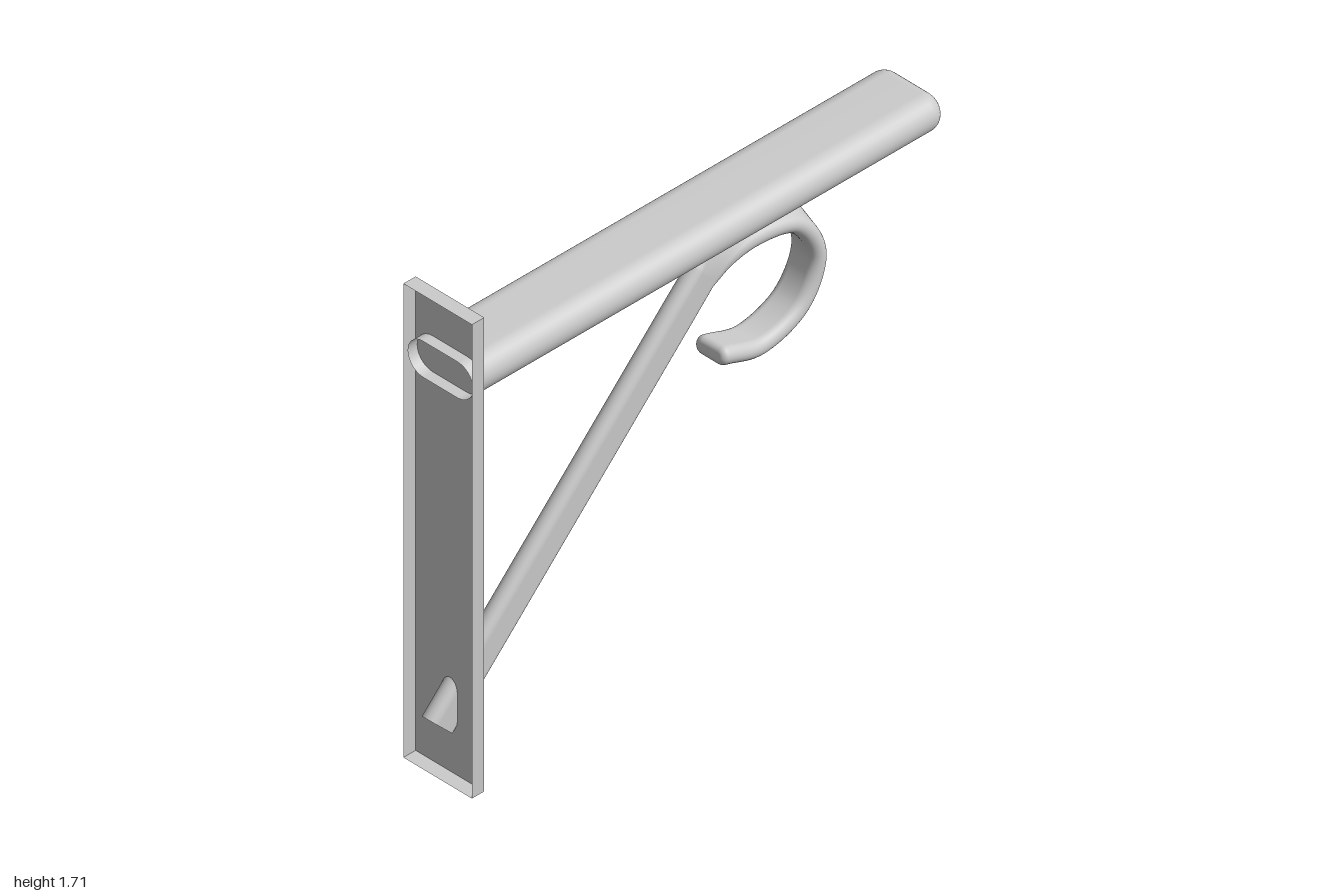
import * as THREE from 'three';

const material = new THREE.MeshStandardMaterial({ color: 0xcccccc, side: THREE.DoubleSide });
const HALF = 14; // segments on each rounded edge of a bar

// Ring with two round edges: u runs along the wide axis, v along the thin one
function ringPoints({ center, u, v, wide, thin, inset = 0 }) {
  const points = [];
  const r = thin - inset;
  for (let side = 0; side < 2; side++) {
    const sign = side ? -1 : 1;
    for (let i = 0; i <= HALF; i++) {
      const a = (i / HALF - 0.5) * Math.PI;
      points.push(center.clone()
        .addScaledVector(u, sign * (wide - thin + r * Math.cos(a)))
        .addScaledVector(v, sign * r * Math.sin(a)));
    }
  }
  return points;
}

// Skin over the sections, open at the start and closed with a rounded rim at the end
function loft(name, sections, rim) {
  const last = sections[sections.length - 1];
  const t = last.u.clone().cross(last.v);
  const all = [...sections];
  for (let i = 1; i <= 8; i++) {
    const a = (i / 8) * Math.PI / 2;
    all.push({
      ...last,
      center: last.center.clone().addScaledVector(t, rim * Math.sin(a)),
      inset: rim * (1 - Math.cos(a)),
    });
  }
  const rings = all.map(ringPoints);
  const n = rings[0].length;
  const points = rings.flat();
  const index = [];
  for (let i = 0; i < rings.length - 1; i++) {
    for (let k = 0; k < n; k++) {
      const a = i * n + k, b = i * n + (k + 1) % n;
      index.push(a, b, b + n, a, b + n, a + n);
    }
  }
  // End face
  const first = (rings.length - 1) * n;
  const middle = points.length;
  points.push(last.center.clone().addScaledVector(t, rim));
  for (let k = 0; k < n; k++) index.push(first + k, first + (k + 1) % n, middle);

  const geometry = new THREE.BufferGeometry().setFromPoints(points);
  geometry.setIndex(index);
  geometry.computeVertexNormals();
  const mesh = new THREE.Mesh(geometry, material);
  mesh.name = name;
  return mesh;
}

// Shallow wall plate, hollow at the back
function wallPlate() {
  const geometry = new THREE.BoxGeometry(0.05, 1.71, 0.285);
  const index = Array.from(geometry.index.array);
  index.splice(6, 6); // leave out the -x face
  geometry.setIndex(index);
  geometry.clearGroups();
  const mesh = new THREE.Mesh(geometry, material);
  mesh.position.set(-0.926, 0.855, 0);
  mesh.name = 'wallPlate';
  return mesh;
}

// Horizontal arm with round edges
function arm() {
  const rim = 0.05;
  const sections = [-0.94, 1 - rim].map((x) => ({
    center: new THREE.Vector3(x, 1.468, 0),
    u: new THREE.Vector3(0, 0, 1),
    v: new THREE.Vector3(0, -1, 0),
    wide: 0.136,
    thin: 0.065,
  }));
  return loft('arm', sections, rim);
}

// Diagonal brace that twists a quarter turn as it curls into a scroll
function brace() {
  const start = new THREE.Vector3(-0.953, 0.193, 0);
  const bend = new THREE.Vector3(0.12, 1.266, 0);
  const curl = new THREE.CatmullRomCurve3([
    [0.12, 1.266], [0.2, 1.322], [0.32, 1.345], [0.485, 1.3], [0.567, 1.14],
    [0.497, 0.99], [0.33, 0.928], [0.18, 0.967],
  ].map(([x, y]) => new THREE.Vector3(x, y, 0)));
  const zAxis = new THREE.Vector3(0, 0, 1);
  const sections = [];
  const add = (center, t, twist) => {
    const outward = new THREE.Vector3(-t.y, t.x, 0);
    const u = outward.multiplyScalar(Math.cos(twist)).addScaledVector(zAxis, -Math.sin(twist));
    sections.push({ center, u, v: t.clone().cross(u), wide: 0.066, thin: 0.031 });
  };
  const straight = bend.clone().sub(start).normalize();
  for (let i = 0; i < 12; i++) add(start.clone().lerp(bend, i / 12), straight, 0);
  for (let i = 0; i <= 72; i++) {
    const s = i / 72;
    add(curl.getPointAt(s), curl.getTangentAt(s), Math.PI / 2 * (1 - (1 - s) ** 3));
  }
  return loft('scrollBrace', sections, 0.022);
}

export function createModel() {
  const group = new THREE.Group();
  group.name = 'shelfBracket';
  group.add(wallPlate(), arm(), brace());
  return group;
}
